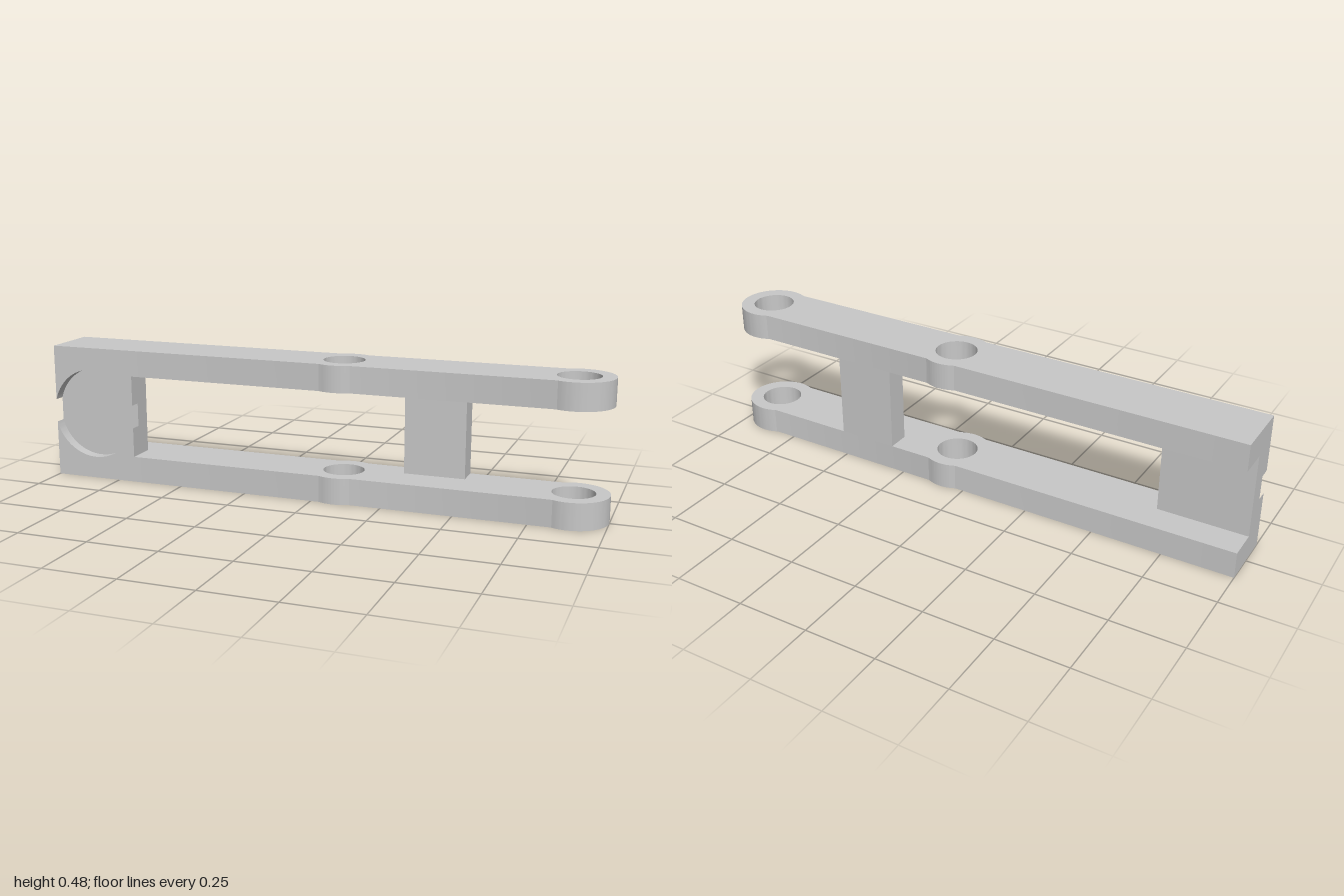
import * as THREE from 'three';
import { toCreasedNormals } from 'three/addons/utils/BufferGeometryUtils.js';

const W = 0.106, H = 0.483, T = 0.093;         // half width, height, rail thickness
const R = 0.119, HOLE = 0.072, F = 0.03;       // eye, hole and fillet radii
const MID = 0.085, END = 0.881;                // eye centres along x
const HEAD = -0.685, FLOOR = 0.066;            // inner end of the head, recess floor
const DX = Math.sqrt((R + F) ** 2 - (W + F) ** 2);
const A = Math.atan2(W + F, DX);

// Plan of one rail, with filleted eyes and the front corner left free for the head
function railShape() {
  const s = new THREE.Shape(), P = Math.PI, o = W + F;
  s.moveTo(-1, FLOOR);
  s.lineTo(-1, -W);
  s.absarc(MID - DX, -o, F, P / 2, A, true);
  s.absarc(MID, 0, R, A - P, -A, false);
  s.absarc(MID + DX, -o, F, P - A, P / 2, true);
  s.absarc(END - DX, -o, F, P / 2, A, true);
  s.absarc(END, 0, R, A - P, P - A, false);
  s.absarc(END - DX, o, F, -A, -P / 2, true);
  s.absarc(MID + DX, o, F, -P / 2, A - P, true);
  s.absarc(MID, 0, R, A, P - A, false);
  s.absarc(MID - DX, o, F, -A, -P / 2, true);
  s.lineTo(HEAD, W);
  s.lineTo(HEAD, FLOOR);
  s.closePath();
  for (const x of [MID, END]) s.holes.push(new THREE.Path().absarc(x, 0, HOLE, 0, 2 * P, true));
  return s;
}

// Half of the head's front face, cut by the round recess
function headShape(side) {
  const s = new THREE.Shape(), cx = (HEAD - 1) / 2, cy = H / 2, r = 0.163;
  const b = Math.acos((HEAD - cx) / r), edge = side > 0 ? H : 0;
  s.moveTo(HEAD, edge);
  s.lineTo(-1, edge);
  s.absarc(cx, cy, r, side * (Math.PI - b), side * b, side > 0);
  s.closePath();
  return s;
}

function extrude(shape, depth) {
  const g = new THREE.ExtrudeGeometry(shape, { depth, bevelEnabled: false, curveSegments: 32 });
  return toCreasedNormals(g, 0.5);
}

export function createModel() {
  const model = new THREE.Group();
  const grey = new THREE.MeshStandardMaterial({ color: 0xc8c8c8 });
  grey.name = 'grey';

  const add = (name, geometry) => {
    const mesh = new THREE.Mesh(geometry, grey);
    mesh.name = name;
    model.add(mesh);
  };
  // Upright web between the rails
  const web = (name, x0, x1, z0, z1) => add(name,
    new THREE.BoxGeometry(x1 - x0, H - 2 * T, z1 - z0)
      .translate((x0 + x1) / 2, H / 2, (z0 + z1) / 2));

  // Rails
  const rail = extrude(railShape(), T).rotateX(Math.PI / 2);
  add('lowerRail', rail.clone().translate(0, T, 0));
  add('upperRail', rail.clone().translate(0, H, 0));

  // Head with round recess
  add('upperHeadFace', extrude(headShape(1), W - FLOOR).translate(0, 0, FLOOR));
  add('lowerHeadFace', extrude(headShape(-1), W - FLOOR).translate(0, 0, FLOOR));
  web('headWeb', -1, HEAD, 0.001, FLOOR);

  // Rear cross web
  web('crossWeb', 0.295, 0.51, -W, -0.027);
  return model;
}
